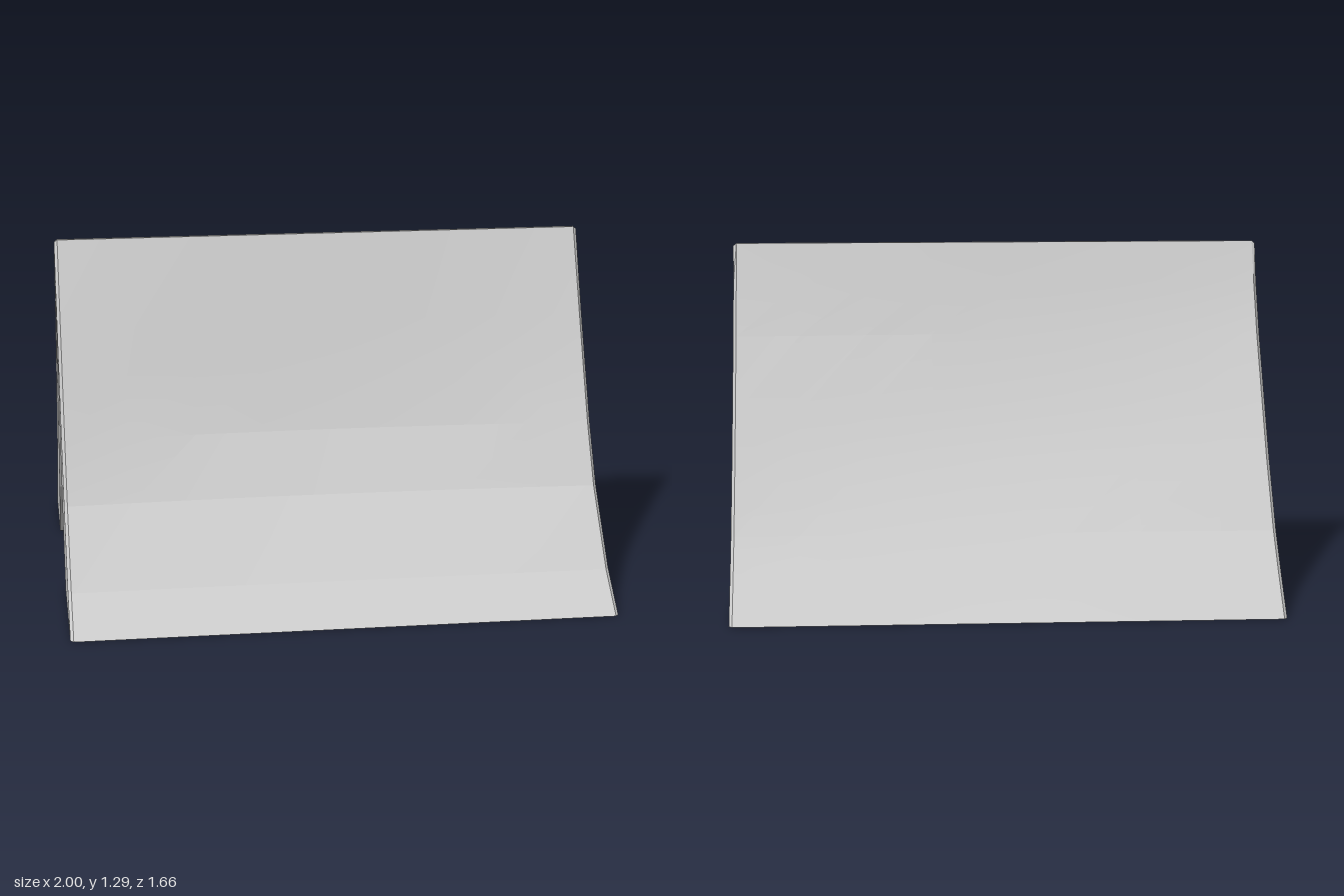
import * as THREE from 'three';
import { toCreasedNormals } from 'three/addons/utils/BufferGeometryUtils.js';

const material = new THREE.MeshStandardMaterial({ color: 0xcccccc });

// End profiles as [z, y], each from the ground up to the ridge
const outerFront = [[.828, 0], [.665, .125], [.445, .383], [.325, .597], [.227, .81], [.15, .98], [.013, 1.292]];
const outerBack = [[-.828, 0], [-.69, .143], [-.575, .272], [-.405, .52], [-.307, .686], [-.151, .953], [-.062, 1.145], [-.003, 1.292]];
const innerFront = [[.28, 0], [.216, .116], [.146, .32], [.093, .552], [.075, .686], [.044, 1.007], [.009, 1.22]];
const innerBack = [[-.44, 0], [-.37, .12], [-.293, .232], [-.193, .463], [-.14, .62], [-.066, .953], [-.029, 1.145], [0, 1.234]];

// Closed loop: up the outer front, down the outer back, up and down the inside
const loop = [...outerFront, ...[...outerBack].reverse(), ...innerBack, ...[...innerFront].reverse()];
const count = loop.length;
const outerCount = count / 2;

// The cloth sags inwards towards mid length; outer edges are bevelled at the ends
function section(x) {
  const end = Math.abs(x) === 1;
  return loop.map(([z, y], j) => {
    const outer = j < outerCount;
    const side = j < outerFront.length || j >= count - innerFront.length ? 1 : -1;
    const sag = (outer ? .038 : .02) * (1 - x * x) * Math.sin(Math.PI * Math.min(y / 1.292, 1)) ** 2;
    const bevel = end && outer ? Math.min(.015, Math.abs(z) / 2) : 0;
    return [x, end && outer ? y * .993 : y, z - side * (sag + bevel)];
  });
}

function createCanvas() {
  const stations = [-1, -.988, -.75, -.5, -.25, 0, .25, .5, .75, .988, 1];
  const positions = stations.flatMap(section).flat();
  const index = [];
  const quad = (a, b, c, d) => index.push(a, b, c, a, c, d);

  // Skin along the length
  for (let i = 0; i < stations.length - 1; i++) {
    for (let j = 0; j < count; j++) {
      const k = (j + 1) % count;
      const a = i * count, b = a + count;
      quad(a + j, b + j, b + k, a + k);
    }
  }
  // End faces, bridging the outer curve to the inner curve
  const last = (stations.length - 1) * count;
  for (let j = 0; j < outerCount - 1; j++) {
    const m = count - 1 - j;
    quad(last + j, last + m, last + m - 1, last + j + 1);
    quad(j, j + 1, m - 1, m);
  }

  const geometry = new THREE.BufferGeometry();
  geometry.setAttribute('position', new THREE.Float32BufferAttribute(positions, 3));
  geometry.setIndex(index);
  return toCreasedNormals(geometry, .12);
}

export function createModel() {
  const tent = new THREE.Group();
  tent.name = 'tent';

  const canvas = new THREE.Mesh(createCanvas(), material);
  canvas.name = 'canvas';
  tent.add(canvas);

  // One upright pole inside each open end
  const poleHeight = 1.24;
  for (const side of [-1, 1]) {
    const pole = new THREE.Mesh(new THREE.BoxGeometry(.045, poleHeight, .028), material);
    pole.name = side > 0 ? 'leftPole' : 'rightPole';
    pole.position.set(side * .925, poleHeight / 2, .004);
    tent.add(pole);
  }
  return tent;
}
